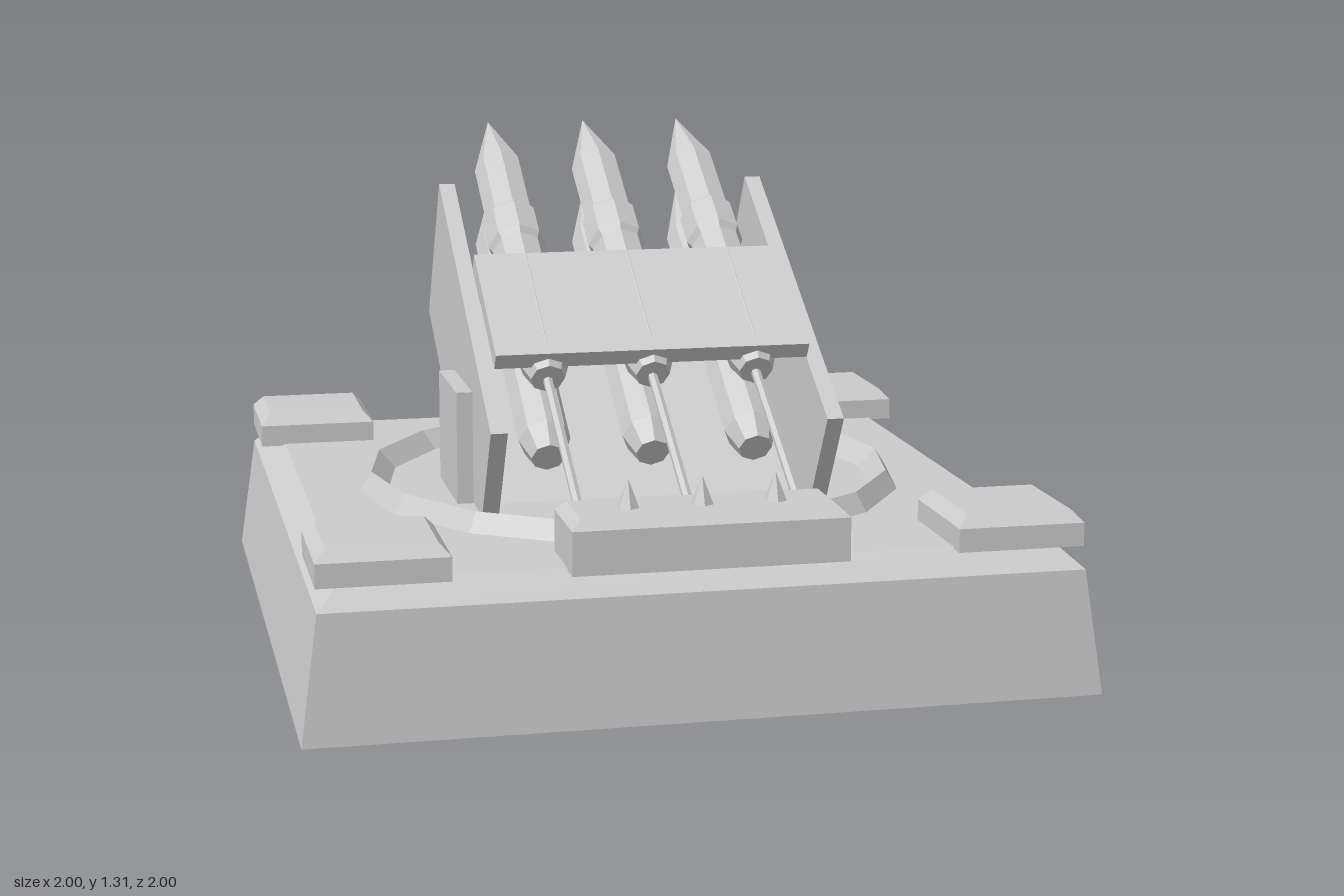
import * as THREE from 'three';

const grey = new THREE.MeshStandardMaterial({ color: 0xcccccc, flatShading: true });

// Rectangular block lofted through levels of [y, halfWidth, halfDepth], capped at both ends
function loftBlock(levels) {
  const pos = [], idx = [];
  for (const [y, w, d] of levels) pos.push(-w, y, d, w, y, d, w, y, -d, -w, y, -d);
  for (let l = 0; l < levels.length - 1; l++) {
    for (let i = 0; i < 4; i++) {
      const a = l * 4 + i, b = l * 4 + (i + 1) % 4;
      idx.push(a, b, b + 4, a, b + 4, a + 4);
    }
  }
  const t = (levels.length - 1) * 4;
  idx.push(t, t + 1, t + 2, t, t + 2, t + 3, 0, 2, 1, 0, 3, 2);
  const g = new THREE.BufferGeometry();
  g.setAttribute('position', new THREE.Float32BufferAttribute(pos, 3));
  g.setIndex(idx);
  const flat = g.toNonIndexed();
  flat.computeVertexNormals();
  return flat;
}

function add(parent, name, geometry, x = 0, y = 0, z = 0) {
  const m = new THREE.Mesh(geometry, grey);
  m.name = name;
  m.position.set(x, y, z);
  parent.add(m);
  return m;
}

const lathe = (points, sides) =>
  new THREE.LatheGeometry(points.map(([r, y]) => new THREE.Vector2(r, y)), sides);

// Straight rod between two points
function addRod(parent, name, a, b, radius) {
  const dir = b.clone().sub(a);
  const rod = add(parent, name, new THREE.CylinderGeometry(radius, radius, dir.length(), 6));
  rod.position.copy(a).addScaledVector(dir, 0.5);
  rod.quaternion.setFromUnitVectors(new THREE.Vector3(0, 1, 0), dir.normalize());
}

export function createModel() {
  const model = new THREE.Group();
  model.name = 'missileBattery';

  // Foundation with sloped walls and a chamfered deck
  add(model, 'base', loftBlock([[0, 1, 1], [0.32, 0.955, 0.975], [0.38, 0.89, 0.91]]));

  // Ridge ring around the launcher
  add(model, 'turntableRing', lathe([[0.745, 0.375], [0.71, 0.43], [0.66, 0.375]], 16));

  // Corner pads
  const pad = loftBlock([[0.375, 0.163, 0.163], [0.435, 0.163, 0.163], [0.465, 0.135, 0.135]]);
  for (const x of [-0.793, 0.793]) for (const z of [-0.793, 0.793]) add(model, 'cornerPad', pad, x, 0, z);

  // Control box with small spikes
  add(model, 'controlBox', loftBlock([[0.375, 0.345, 0.116], [0.485, 0.345, 0.116], [0.51, 0.32, 0.093]]), 0, 0, 0.86);
  for (const x of [-0.185, 0, 0.185]) add(model, 'spike', new THREE.ConeGeometry(0.03, 0.075, 6), x, 0.545, 0.86);

  // Upright brackets outside the side plates
  for (const s of [-1, 1]) add(model, 'bracket', new THREE.BoxGeometry(0.045, 0.31, 0.32), s * 0.484, 0.525, 0.05);

  // Tilted cradle: local -z runs up along the missiles, local y is square to them
  const cradle = new THREE.Group();
  cradle.name = 'launchCradle';
  cradle.position.set(0, 0.63, 0.51);
  cradle.rotation.x = 0.55;
  model.add(cradle);

  const slab = (name, width, s0, s1, h0, h1, x = 0) =>
    add(cradle, name, new THREE.BoxGeometry(width, h1 - h0, s1 - s0), x, (h0 + h1) / 2, -(s0 + s1) / 2);
  for (const s of [-1, 1]) slab('sidePlate', 0.044, 0, 1.02, -0.467, 0, s * 0.442);
  slab('topCover', 0.84, 0.24, 0.65, 0.003, 0.049);
  slab('tray', 0.84, 0.02, 0.92, -0.478, -0.36);

  // Two rows of three missiles, lower row set straight below the upper one
  const missile = lathe([
    [0, 0.22], [0.045, 0.22], [0.29, 0.22].map((v, i) => (i ? 0.29 : 0.07)), [0.07, 0.74],
    [0.08, 0.76], [0.08, 0.86], [0.07, 0.88], [0.07, 1.1], [0, 1.33],
  ], 8);
  for (const x of [-0.28, 0, 0.28]) {
    for (const [name, h, shift] of [['upperMissile', -0.02, 0], ['lowerMissile', -0.199, 0.11]]) {
      add(cradle, name, missile, x, h, shift).rotation.x = -Math.PI / 2;
    }
    // Feed rod from the control box to the missile tail
    addRod(model, 'feedRod', new THREE.Vector3(x, 0.455, 0.76), new THREE.Vector3(x, 0.728, 0.3), 0.013);
  }

  return model;
}
